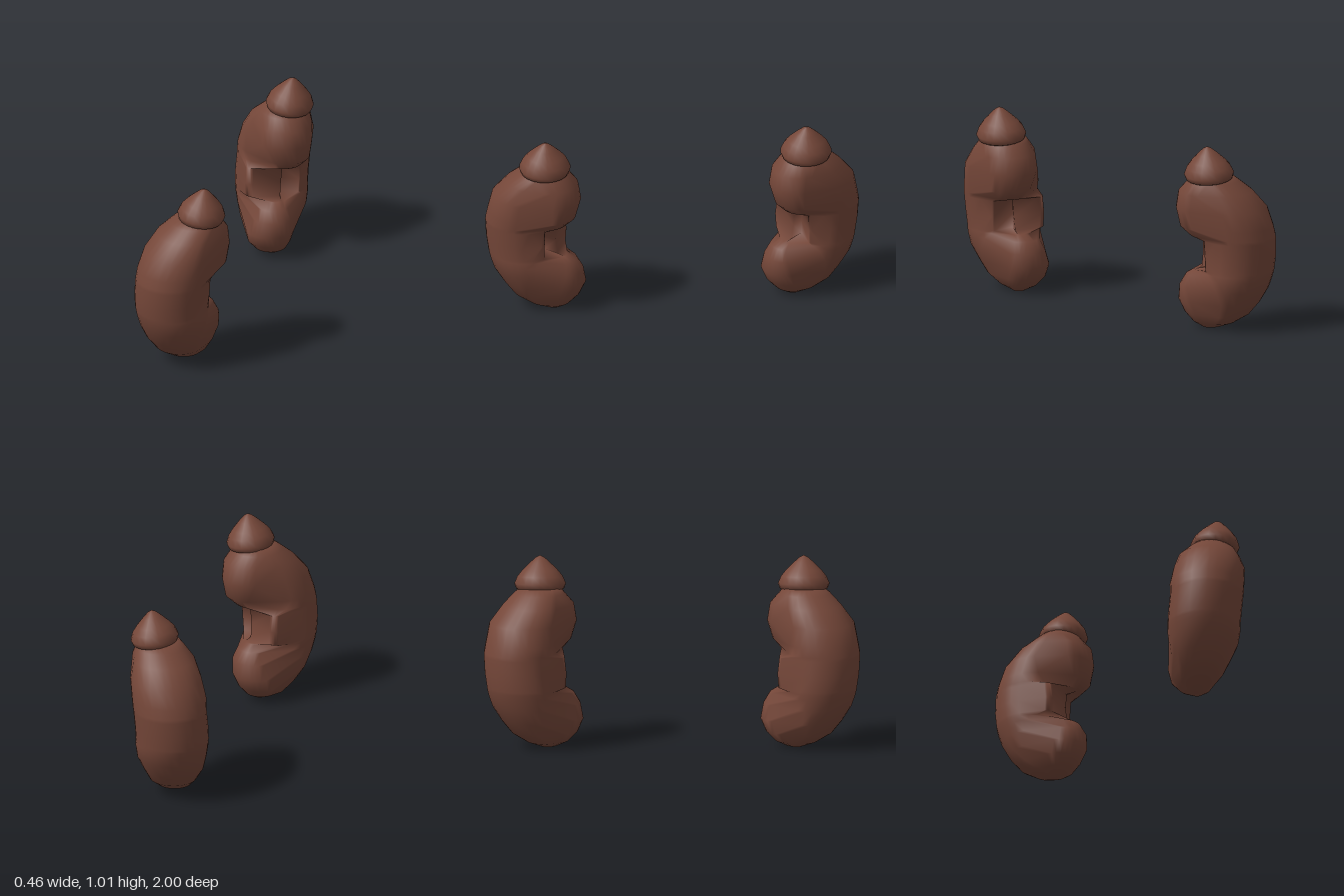
import * as THREE from 'three';

const brown = new THREE.MeshStandardMaterial({ color: 0x754739 });
brown.name = 'brown';

const SIDES = 28;
const OPEN = [0.72, -0.69]; // direction (x, z) in which the C-shaped body opens

// Each level: height, then the circles [x, z, radius] whose hull is the section.
// Levels with a third circle are the hollow between the two lobes.
const LEVELS = [
  [0.0, [0, 0.66, 0.03], [0.02, 0.64, 0.03]],
  [0.03, [-0.01, 0.68, 0.09], [0.01, 0.635, 0.085]],
  [0.08, [-0.02, 0.725, 0.125], [0.01, 0.615, 0.115]],
  [0.15, [-0.03, 0.745, 0.16], [0.02, 0.6, 0.13]],
  [0.23, [-0.03, 0.77, 0.185], [0.033, 0.605, 0.12]],
  [0.29, [-0.035, 0.782, 0.193], [0.03, 0.62, 0.1]],
  [0.32, [-0.038, 0.788, 0.194], [0.03, 0.65, 0.08]],
  [0.335, [-0.04, 0.79, 0.194], [0.105, 0.73, 0.04], [-0.08, 0.61, 0.045]],
  [0.41, [-0.04, 0.8, 0.195], [0.11, 0.73, 0.04], [-0.08, 0.605, 0.045]],
  [0.5, [-0.033, 0.805, 0.195], [0.11, 0.73, 0.045], [-0.08, 0.615, 0.045]],
  [0.52, [-0.03, 0.803, 0.196], [0.07, 0.68, 0.1]],
  [0.57, [-0.022, 0.792, 0.198], [0.09, 0.66, 0.125]],
  [0.67, [0, 0.78, 0.19], [0.08, 0.655, 0.15]],
  [0.76, [0.03, 0.735, 0.165], [0.08, 0.665, 0.145]],
  [0.82, [0.06, 0.71, 0.13], [0.07, 0.69, 0.12]],
  [0.85, [0.065, 0.7, 0.1], [0.07, 0.69, 0.1]],
];

// Outermost point of a group of circles in the direction (dx, dz)
function hullPoint(circles, dx, dz) {
  let best = null, reach = -Infinity;
  for (const [x, z, r] of circles) {
    const d = x * dx + z * dz + r;
    if (d > reach) { reach = d; best = [x + r * dx, z + r * dz]; }
  }
  return best;
}

// Body lofted through the levels; side = 1 or -1 mirrors it in z
function bodyGeometry(side) {
  const pos = [], idx = [];
  const tri = (a, b, c) => (side > 0 ? idx.push(a, b, c) : idx.push(a, c, b));
  const start = Math.atan2(OPEN[1], OPEN[0]);
  for (const [y, ...circles] of LEVELS) {
    for (let j = 0; j < SIDES; j++) {
      const t = start + (j / SIDES) * Math.PI * 2;
      let [x, z] = hullPoint(circles, Math.cos(t), Math.sin(t));
      // shallow groove down the middle of the hollow
      if (j === 0 && circles.length === 3) {
        x = (circles[1][0] + circles[2][0]) / 2;
        z = (circles[1][1] + circles[2][1]) / 2 + 0.02;
      }
      pos.push(x, y, z * side);
    }
  }
  const rows = LEVELS.length;
  for (let i = 0; i < rows - 1; i++) {
    for (let j = 0; j < SIDES; j++) {
      const a = i * SIDES + j, b = i * SIDES + ((j + 1) % SIDES);
      tri(a, a + SIDES, b);
      tri(b, a + SIDES, b + SIDES);
    }
  }
  // close the bottom and the top
  const bottom = pos.length / 3, top = bottom + 1, last = (rows - 1) * SIDES;
  pos.push(0.01, 0, 0.65 * side, 0.07, 0.86, 0.695 * side);
  for (let j = 0; j < SIDES; j++) {
    const k = (j + 1) % SIDES;
    tri(bottom, j, k);
    tri(top, last + k, last + j);
  }
  const g = new THREE.BufferGeometry();
  g.setAttribute('position', new THREE.Float32BufferAttribute(pos, 3));
  g.setIndex(idx);
  g.computeVertexNormals();
  return g;
}

// Pointed cap profile, from the underside to the tip
function capGeometry() {
  const profile = [[0, -0.01], [0.1, -0.015], [0.118, -0.005], [0.127, 0.022],
    [0.112, 0.06], [0.088, 0.092], [0.05, 0.133], [0.022, 0.16], [0, 0.172]];
  return new THREE.LatheGeometry(profile.map(([r, y]) => new THREE.Vector2(r, y)), 20);
}

export function createModel() {
  const model = new THREE.Group();
  model.name = 'earPair';
  for (const side of [1, -1]) {
    const ear = new THREE.Group();
    ear.name = side > 0 ? 'frontEar' : 'backEar';

    const body = new THREE.Mesh(bodyGeometry(side), brown);
    body.name = 'curvedBody';

    const cap = new THREE.Mesh(capGeometry(), brown);
    cap.name = 'pointedCap';
    cap.position.set(0.093, 0.842, 0.7 * side);
    cap.rotation.z = -0.12;
    cap.scale.z = 1.08;

    ear.add(body, cap);
    model.add(ear);
  }
  return model;
}
